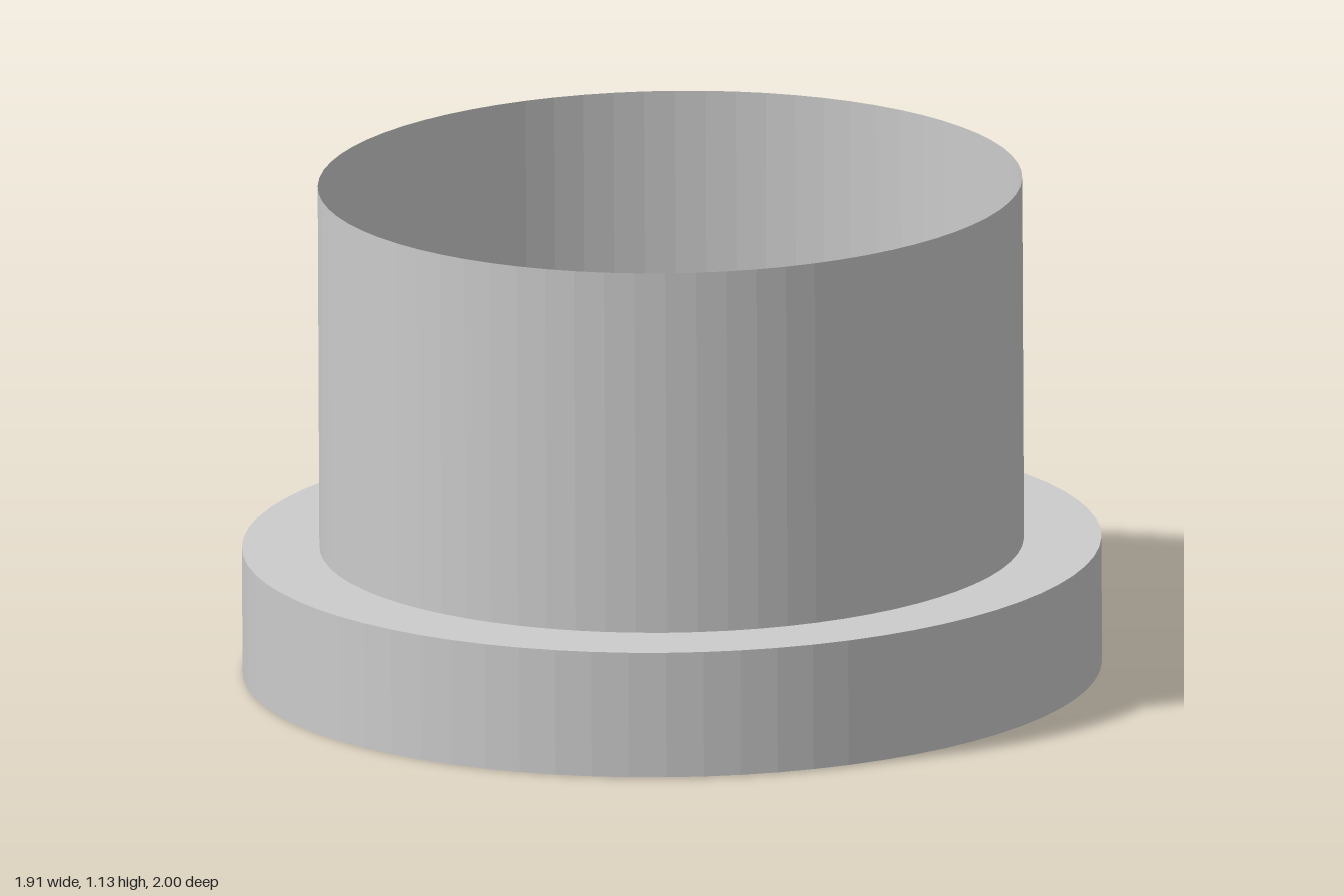
import * as THREE from 'three';

const SIDES = 72;

export function createModel() {
  const group = new THREE.Group();
  group.name = 'flangedCollar';
  const material = new THREE.MeshStandardMaterial({
    color: 0xcccccc, flatShading: true, side: THREE.DoubleSide,
  });

  // Thin sheet turned around the upright axis, slightly narrower across x
  const addShell = (name, profile) => {
    const points = profile.map(([r, y]) => new THREE.Vector2(r, y));
    const geometry = new THREE.LatheGeometry(points, SIDES);
    geometry.scale(0.955, 1, 1);
    const mesh = new THREE.Mesh(geometry, material);
    mesh.name = name;
    group.add(mesh);
  };

  // Hollow base flange: open bottom ring, outer wall, top ring
  addShell('flange', [[0.73, 0], [1, 0], [1, 0.288], [0.82, 0.288]]);

  // Open sleeve rising from the inner edge of the top ring
  addShell('sleeve', [[0.82, 0.288], [0.82, 1.12]]);

  // The piece leans very slightly forward
  group.rotation.set(0.0065, 0, 0.002);
  group.position.y = 0.007;
  return group;
}
